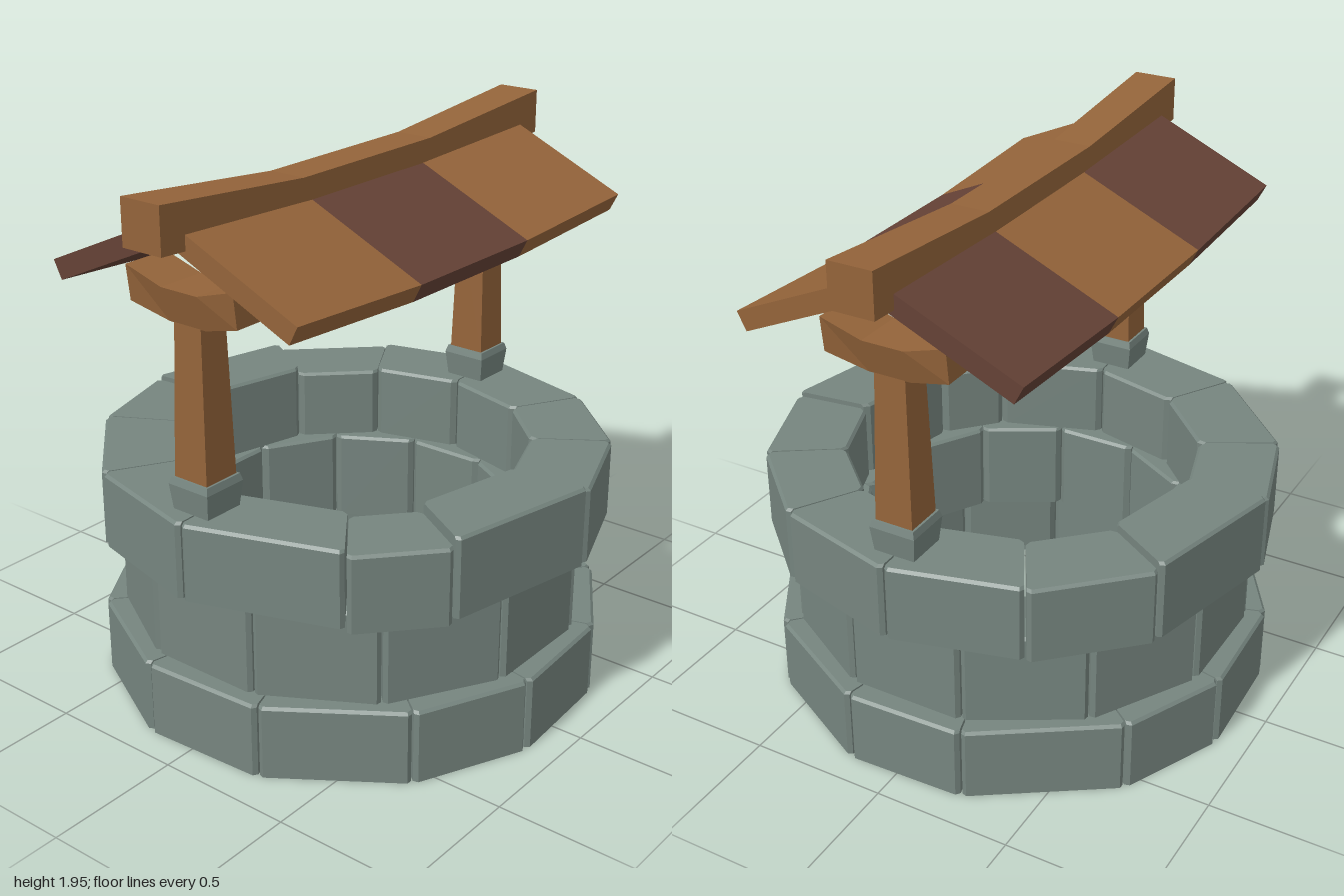
import * as THREE from 'three';

const mat = (name, color) => Object.assign(new THREE.MeshStandardMaterial({ color, flatShading: true }), { name });

// Solid through a row of convex loops with equal point counts, capped at both ends
function loft(loops) {
  const n = loops[0].length, pos = [];
  const tri = (a, b, c) => pos.push(...a, ...b, ...c);
  for (let s = 0; s < loops.length - 1; s++) {
    for (let i = 0; i < n; i++) {
      const j = (i + 1) % n, A = loops[s], B = loops[s + 1];
      tri(A[i], A[j], B[j]);
      tri(A[i], B[j], B[i]);
    }
  }
  const first = loops[0], last = loops[loops.length - 1];
  for (let i = 1; i < n - 1; i++) {
    tri(first[0], first[i + 1], first[i]);
    tri(last[0], last[i], last[i + 1]);
  }
  // Turn the faces outward if the loops ran the other way
  let volume = 0;
  const a = new THREE.Vector3(), b = new THREE.Vector3(), c = new THREE.Vector3();
  for (let i = 0; i < pos.length; i += 9) {
    volume += a.fromArray(pos, i).dot(b.fromArray(pos, i + 3).cross(c.fromArray(pos, i + 6)));
  }
  if (volume < 0) {
    for (let i = 0; i < pos.length; i += 9) {
      for (let k = 0; k < 3; k++) [pos[i + 3 + k], pos[i + 6 + k]] = [pos[i + 6 + k], pos[i + 3 + k]];
    }
  }
  const g = new THREE.BufferGeometry();
  g.setAttribute('position', new THREE.Float32BufferAttribute(pos, 3));
  g.computeVertexNormals();
  return g;
}

// Square loop across the y axis
const square = (x, y, h) => [[x - h, y, -h], [x + h, y, -h], [x + h, y, h], [x - h, y, h]];

// Wedge-shaped stone between two angles (degrees from the front), chamfered at its joints and top
function stoneBlock(a0, a1, inner, outer, y0, y1) {
  const at = (deg, r) => {
    const t = THREE.MathUtils.degToRad(deg);
    return new THREE.Vector2(Math.sin(t) * r, Math.cos(t) * r);
  };
  const plan = (inset) => {
    const corners = [at(a0 + 0.2, inner + inset), at(a0 + 0.2, outer - inset),
      at(a1 - 0.2, outer - inset), at(a1 - 0.2, inner + inset)];
    const out = [];
    corners.forEach((p, i) => {
      for (const q of [corners[(i + 3) % 4], corners[(i + 1) % 4]]) {
        out.push(p.clone().add(q.clone().sub(p).setLength(0.016)));
      }
    });
    return out;
  };
  const level = (y, inset) => plan(inset).map((p) => [p.x, y, p.y]);
  return loft([level(y0, 0), level(y1 - 0.01, 0), level(y1, 0.01)]);
}

export function createModel() {
  const stone = mat('stone', 0x76857f);
  const wood = mat('wood', 0x94643a);
  const darkWood = mat('darkWood', 0x654236);
  const model = new THREE.Group();
  model.name = 'well';
  const add = (name, geometry, material, parent = model) => {
    const m = new THREE.Mesh(geometry, material);
    m.name = name;
    parent.add(m);
    return m;
  };

  // Three rings of twelve stones; joints are angles, lift shifts single stones
  const even = (start) => Array.from({ length: 12 }, (_, i) => start + i * 30);
  const rings = [
    { name: 'bottomRing', joints: [-11, 18, 46, 78, 106, 142, 168, 197, 227, 258, 288, 321],
      inner: 0.64, outer: 0.91, y0: 0, y1: 0.27, lift: {} },
    { name: 'middleRing', joints: even(-15), inner: 0.585, outer: 0.84, y0: 0.265, y1: 0.605, lift: {} },
    { name: 'topRing', joints: [-31, 7, 34, 60, 90, 120, 148, 184, 209, 240, 271, 307],
      inner: 0.63, outer: 0.92, y0: 0.6, y1: 0.875, lift: { 0: 0.015, 5: -0.01, 6: 0.015, 11: -0.018 } },
  ];
  for (const r of rings) {
    const ring = new THREE.Group();
    ring.name = r.name;
    model.add(ring);
    r.joints.forEach((a, i) => {
      const next = i < 11 ? r.joints[i + 1] : r.joints[0] + 360;
      const dy = r.lift[i] || 0;
      add('stoneBlock', stoneBlock(a, next, r.inner, r.outer, r.y0 + Math.min(dy, 0), r.y1 + dy), stone, ring);
    });
  }

  // Post with stone socket and flared bracket on each side
  for (const side of [-1, 1]) {
    const x = side * 0.766;
    const post = new THREE.Group();
    post.name = side > 0 ? 'leftPost' : 'rightPost';
    model.add(post);
    add('socket', loft([square(x, 0.84, 0.073), square(x, 0.87, 0.075), square(x, 0.965, 0.085), square(x, 0.99, 0.078)]), stone, post);
    add('postShaft', loft([square(x, 0.985, 0.07), square(x, 1.53, 0.056)]), wood, post);
    const bracketLoop = (z, low, high, wLow, wHigh) =>
      [[x - wLow, low, z], [x + wLow, low, z], [x + wHigh, high, z], [x - wHigh, high, z]];
    add('bracket', loft([
      bracketLoop(-0.225, 1.556, 1.68, 0.075, 0.09),
      bracketLoop(-0.075, 1.515, 1.635, 0.056, 0.09),
      bracketLoop(0.075, 1.515, 1.635, 0.056, 0.09),
      bracketLoop(0.225, 1.556, 1.68, 0.075, 0.09),
    ]), wood, post);
  }

  // Sagging ridge beam
  const beamLoop = (x, low, high, h) => [[x, low, -h], [x, high, -h], [x, high, h], [x, low, h]];
  add('ridgeBeam', loft([
    beamLoop(-1, 1.795, 1.953, 0.08), beamLoop(-0.34, 1.757, 1.895, 0.07),
    beamLoop(0.34, 1.757, 1.895, 0.07), beamLoop(1, 1.795, 1.953, 0.08),
  ]), wood);

  // Two roof slopes, each of three panels in alternating colours
  const stops = [[-0.897, 0], [-0.3, -0.03], [0.3, -0.03], [0.897, 0]];
  for (const side of [1, -1]) {
    const slope = new THREE.Group();
    slope.name = side > 0 ? 'frontRoof' : 'backRoof';
    model.add(slope);
    const loop = ([x, dy]) => [[0.012, 1.87], [0.51, 1.648], [0.478, 1.585], [0.012, 1.793]]
      .map(([z, y]) => [x, y + dy, side * z]);
    for (let i = 0; i < 3; i++) {
      const isDark = (i === 1) === (side > 0);
      add('roofPanel', loft([loop(stops[i]), loop(stops[i + 1])]), isDark ? darkWood : wood, slope);
    }
  }
  return model;
}
